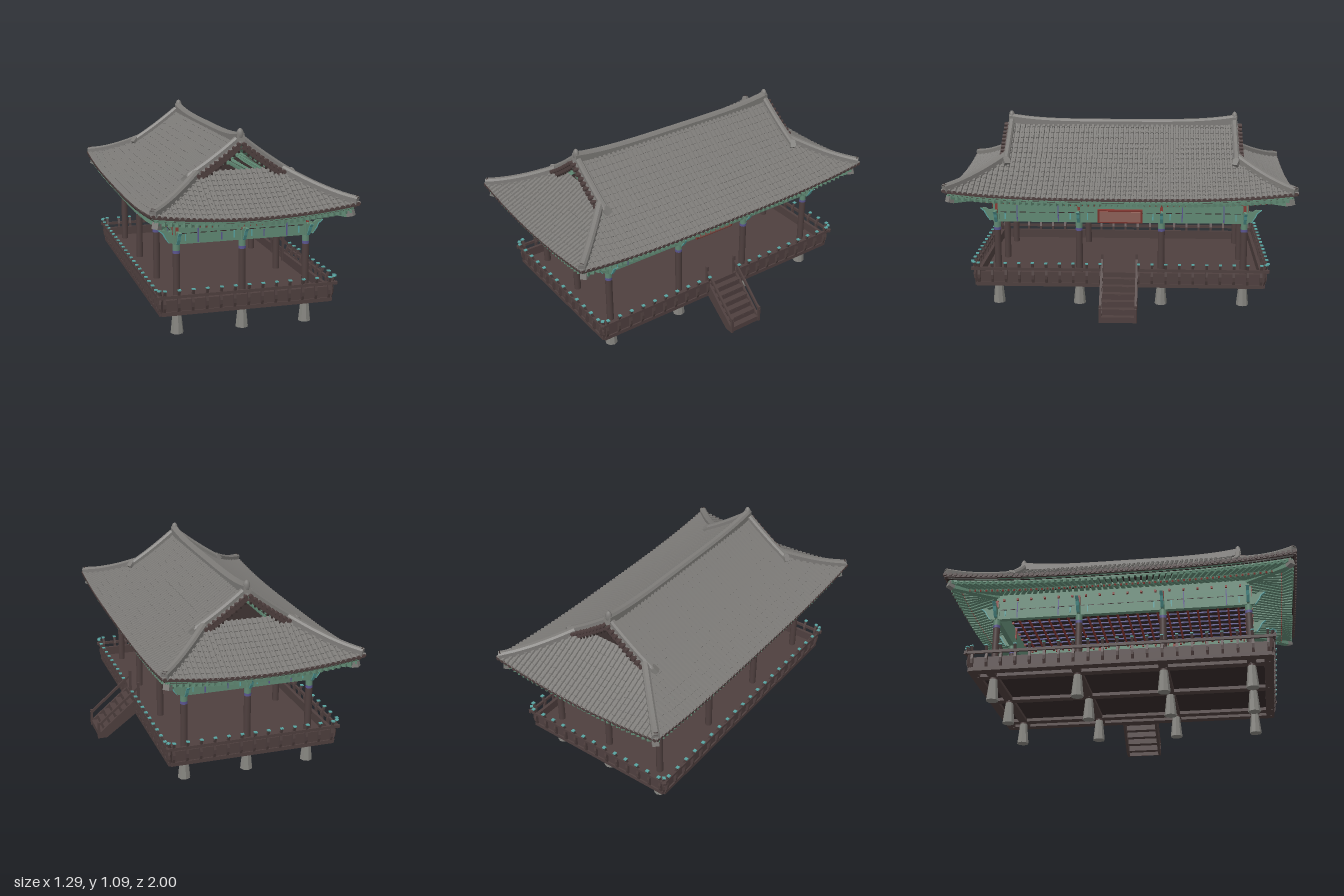
import * as THREE from 'three';
import { mergeGeometries } from 'three/addons/utils/BufferGeometryUtils.js';

const D = 0.562, ZO = 0.435, CX = 0.367, CZ = 0.72; // eave half width, hip offset, column grid
const V = (x, y, z) => new THREE.Vector3(x, y, z);
const range = (a, b, n) => Array.from({ length: n + 1 }, (_, i) => a + (b - a) * i / n);

function fromTris(pos) {
  const g = new THREE.BufferGeometry();
  g.setAttribute('position', new THREE.Float32BufferAttribute(pos.flatMap(p => [p.x, p.y, p.z]), 3));
  g.computeVertexNormals();
  return g;
}
// Sweep an anticlockwise (side, up) profile along a path, with an optional scale per point
function sweep(path, profile, scale = () => 1) {
  const t = [], n = profile.length, up = V(0, 1, 0);
  const rings = path.map((p, i) => {
    const dir = path[Math.min(i + 1, path.length - 1)].clone().sub(path[Math.max(i - 1, 0)]).normalize();
    const side = dir.clone().cross(up).normalize(), nrm = side.clone().cross(dir);
    return profile.map(([a, b]) => p.clone().addScaledVector(side, a * scale(i)).addScaledVector(nrm, b * scale(i)));
  });
  for (let i = 0; i + 1 < rings.length; i++) for (let j = 0; j < n; j++) {
    const k = (j + 1) % n, A = rings[i], B = rings[i + 1];
    t.push(A[j], B[j], B[k], A[j], B[k], A[k]);
  }
  const S = rings[0], E = rings[rings.length - 1];
  for (let j = 1; j + 1 < n; j++) t.push(S[0], S[j], S[j + 1], E[0], E[j + 1], E[j]);
  return fromTris(t);
}
function surface(rows) {
  const t = [];
  for (let i = 0; i + 1 < rows.length; i++) for (let j = 0; j + 1 < rows[i].length; j++) {
    const a = rows[i][j], b = rows[i + 1][j], c = rows[i + 1][j + 1], d = rows[i][j + 1];
    t.push(a, b, c, a, c, d);
  }
  return fromTris(t);
}
const box = (w, h, d, x, y, z) => new THREE.BoxGeometry(w, h, d).translate(x, y, z);
const cyl = (rt, rb, y0, y1, x, z, n = 12) => new THREE.CylinderGeometry(rt, rb, y1 - y0, n).translate(x, (y0 + y1) / 2, z);
const faceted = g => { const q = g.toNonIndexed(); q.computeVertexNormals(); return q; };
const rect = (w, h) => [[-w / 2, 0], [w / 2, 0], [w / 2, h], [-w / 2, h]];
const ridgeShape = (w, h) => [[-w / 2, -0.01], [w / 2, -0.01], [w / 2, h * 0.7], [w / 4, h], [-w / 4, h], [-w / 2, h * 0.7]];
const plate = (pts, depth) => new THREE.ExtrudeGeometry(new THREE.Shape(pts.map(p => new THREE.Vector2(...p))),
  { depth, bevelEnabled: false }).translate(0, 0, -depth / 2);

// Roof height: sagging slope plus lifted corners
const lift = (x, z) => 0.045 * (x / D) ** 2 * Math.abs(z) ** 3;
const roofY = (d, x, z) => 1.02 - 0.8 * d + 0.32 * d * d + lift(x, z);
// The four slopes: s runs along the eave, d runs from ridge to eave
const sides = [];
for (const sg of [1, -1]) {
  sides.push({ main: true, sg, L: D + ZO, post: CZ, at: (s, d, dy = 0) => V(sg * d, roofY(d, d, s) + dy, s) });
  sides.push({ main: false, sg, L: D, post: CX, at: (s, d, dy = 0) => V(s, roofY(d, s, d + ZO) + dy, sg * (d + ZO)) });
}
const topOf = (f, s) => f.main ? (Math.abs(s) < 0.7 ? 0 : Math.abs(s) - ZO) : Math.max(Math.abs(s), 0.215);

export function createModel() {
  const mat = (name, color, side = THREE.FrontSide) => Object.assign(new THREE.MeshStandardMaterial({ color, side }), { name });
  const tile = mat('grey tile', 0x7d7b78, THREE.DoubleSide), stone = mat('stone', 0x84837e);
  const wood = mat('brown wood', 0x4e3f3e), dark = mat('dark timber', 0x352b2a, THREE.DoubleSide);
  const green = mat('green paint', 0x608873, THREE.DoubleSide), red = mat('red paint', 0x8a3a34);
  const pink = mat('plaque face', 0xa06e64), violet = mat('violet paint', 0x5a5590), cyan = mat('teal paint', 0x58a3a0);

  const model = new THREE.Group(), body = new THREE.Group();
  model.name = 'pavilion'; body.name = 'hall';
  body.position.x = -0.078;
  model.add(body);
  const add = (name, material, geos) => {
    const list = geos.map(g => { const q = g.index ? g.toNonIndexed() : g; q.deleteAttribute('uv'); return q; });
    const m = new THREE.Mesh(mergeGeometries(list), material);
    m.name = name;
    body.add(m);
  };

  // Roof slopes, tile rows, eave edges and two tiers of rafters
  const sheets = [], lining = [], rolls = [], ends = [], edges = [], rafters = [], tips = [], soffit = [], fascias = [];
  const roll = [[-0.009, -0.002], [0.009, -0.002], [0.006, 0.008], [-0.006, 0.008]];
  for (const f of sides) {
    const pieces = f.main ? [[-f.L, -0.7], [-0.7, 0.7], [0.7, f.L]] : [[-f.L, -0.215], [-0.215, 0.215], [0.215, f.L]];
    for (const [a, b] of pieces) {
      const d0 = s => f.main && a === -0.7 ? 0 : f.main ? Math.abs(s) - ZO : topOf(f, s);
      const grid = dy => surface(range(a, b, 14).map(s => range(d0(s), D, 12).map(d => f.at(s, d, dy))));
      sheets.push(grid(0));
      if (f.main && a === -0.7) lining.push(grid(-0.012));
    }
    const n = Math.round(2 * f.L / 0.03);
    for (const s of range(-f.L + 0.012, f.L - 0.012, n)) {
      const d0 = topOf(f, s), k = Math.max(1, Math.round((D - d0) / 0.036)), path = [];
      for (let i = 0; i < k; i++) for (const e of [0, 1]) path.push(f.at(s, d0 + (D - d0) * (i + e) / k, 0.001));
      rolls.push(sweep(path, roll, i => i % 2 ? 1.2 : 0.85));
      const c = new THREE.CylinderGeometry(0.0105, 0.0105, 0.008, 8).rotateX(Math.PI / 2);
      if (f.main) c.rotateY(Math.PI / 2);
      const p = f.at(s, D, 0);
      ends.push(c.translate(p.x, p.y, p.z));
    }
    const along = range(-1, 1, 28);
    edges.push(sweep(along.map(t => f.at(t * (f.L - 0.012), D - 0.01, -0.016)), rect(0.012, 0.015)));
    // Points fan out towards the corners: t runs along the eave, d is the reach, y the height before the lift
    const under = (t, d, y) => {
      const s = t * (f.L - D + d), p = f.main ? V(f.sg * d, y, s) : V(s, y, f.sg * (d + ZO));
      p.y += lift(p.x, p.z);
      return p;
    };
    const inner = (t, y) => {
      const c = THREE.MathUtils.clamp(t * f.L, -f.post, f.post);
      return f.main ? V(f.sg * 0.34, y, c) : V(c, y, f.sg * (CZ - 0.03));
    };
    soffit.push(surface(along.map(t => [inner(t, 0.676), under(t, 0.47, 0.644), under(t, D - 0.015, 0.65)])));
    for (const t of range(-0.98, 0.98, Math.round(2 * f.L / 0.036))) {
      const a = inner(t, 0.66), b = under(t, 0.475, 0.616);
      rafters.push(sweep([a, b], rect(0.021, 0.02)));
      tips.push(sweep([b, b.clone().add(b.clone().sub(a).setLength(0.004))], rect(0.011, 0.011)));
      rafters.push(sweep([under(t, 0.45, 0.632), under(t, D - 0.022, 0.626)], rect(0.021, 0.02)));
    }
    fascias.push(sweep(along.map(t => under(t, 0.462, 0.63)), rect(0.012, 0.016)));
    fascias.push(sweep(along.map(t => under(t, D - 0.03, 0.64)), rect(0.014, 0.016)));
  }
  add('roofSlopes', tile, sheets);
  add('roofLining', green, lining);
  add('tileRows', tile, rolls);
  add('tileEnds', wood, ends);
  add('eaveEdge', wood, edges);
  add('soffit', dark, soffit);
  add('rafters', green, rafters);
  add('rafterTips', red, tips);
  add('eaveFascias', green, fascias);

  // Ridges, finials and gable trim
  const ridges = [sweep(range(-0.69, 0.69, 24).map(z => V(0, 1.003 + 0.032 * (z / 0.69) ** 4, z)), ridgeShape(0.044, 0.04))];
  const finials = [], hooks = [], boards = [], verge = [], hipBeams = [], hipEnds = [], studs = [];
  for (const sz of [1, -1]) {
    finials.push(new THREE.SphereGeometry(1, 10, 8).scale(0.021, 0.037, 0.018).translate(0, 1.056, sz * 0.674));
    for (const sx of [1, -1]) {
      const slope = (z, dy, a = 0.005, b = 0.285) => range(a, b, 10).map(d => V(sx * d, roofY(d, d, z) + dy, sz * z));
      ridges.push(sweep([...slope(0.672, 0), V(sx * 0.3, 0.822, sz * 0.668), V(sx * 0.315, 0.838, sz * 0.66)], ridgeShape(0.034, 0.038)));
      const hip = range(0.24, D - 0.012, 10).map(d => V(sx * d, roofY(d, d, d + ZO), sz * (d + ZO)));
      ridges.push(sweep(hip, ridgeShape(0.04, 0.034)));
      const e = hip[10];
      hooks.push(sweep([V(e.x - sx * 0.03, e.y + 0.01, e.z - sz * 0.03), V(e.x - sx * 0.01, e.y + 0.012, e.z - sz * 0.01),
        V(e.x + sx * 0.004, e.y + 0.026, e.z + sz * 0.004)], rect(0.034, 0.024), i => 1 - i * 0.2));
      const p = V(sx * 0.515, 0.637, sz * 0.95), q = V(sx * 0.54, 0.647, sz * 0.975);
      hipBeams.push(sweep([V(sx * 0.35, 0.635, sz * 0.7), p], rect(0.034, 0.036)));
      hipEnds.push(sweep([p, q], rect(0.036, 0.036)));
      boards.push(sweep(slope(0.695, -0.036, 0, 0.255), rect(0.012, 0.03)));
      for (const d of range(0.015, 0.265, 10)) {
        const y = roofY(d, d, 0.7);
        verge.push(new THREE.CylinderGeometry(0.011, 0.011, 0.04, 8).rotateX(Math.PI / 2).translate(sx * d, y, sz * 0.698));
        if (d < 0.23) studs.push(box(0.01, 0.012, 0.008, sx * d, y - 0.04, sz * 0.7));
      }
    }
  }
  add('ridges', tile, ridges);
  add('ridgeFinials', tile, finials);
  add('cornerHooks', dark, hooks);
  add('gableBoards', wood, boards);
  add('vergeTiles', wood, verge);
  add('gableStuds', dark, studs);
  add('cornerBeams', green, hipBeams);
  add('cornerBeamEnds', tile, hipEnds);

  // Stone bases, columns and brackets
  const bases = [], shafts = [], bands = [], necks = [], caps = [], wings = [], wingEdges = [];
  const wing = () => plate([[0, 0.497], [0.025, 0.503], [0.045, 0.53], [0.056, 0.555], [0.08, 0.573], [0.05, 0.575], [0.03, 0.562], [0, 0.57]], 0.014);
  const wingEdge = () => plate([[0.022, 0.498], [0.029, 0.503], [0.049, 0.53], [0.06, 0.553], [0.084, 0.573], [0.076, 0.573],
    [0.054, 0.556], [0.043, 0.531]], 0.017);
  for (const x of [-CX, 0, CX]) for (const z of [-CZ, -0.24, 0.24, CZ]) {
    bases.push(faceted(cyl(0.023, 0.036, 0, 0.126, x, z, 8)));
    const edgeX = x !== 0, edgeZ = Math.abs(z) === CZ;
    if (!edgeX && !edgeZ) continue;
    shafts.push(cyl(0.02, 0.02, 0.126, 0.444, x, z));
    bands.push(cyl(0.0205, 0.0205, 0.444, 0.46, x, z));
    necks.push(cyl(0.02, 0.02, 0.46, 0.55, x, z));
    caps.push(box(0.016, 0.065, 0.046, x, 0.58, z), box(0.046, 0.065, 0.016, x, 0.58, z));
    const angles = [];
    if (edgeX) angles.push(x > 0 ? 0 : Math.PI);
    if (edgeZ) angles.push(z > 0 ? -Math.PI / 2 : Math.PI / 2);
    for (const a of angles) {
      wings.push(wing().translate(0.015, 0, 0).rotateY(a).translate(x, 0, z));
      wingEdges.push(wingEdge().translate(0.015, 0, 0).rotateY(a).translate(x, 0, z));
    }
  }
  add('stoneBases', stone, bases);
  add('columns', wood, shafts);
  add('columnBands', violet, bands);
  add('columnNecks', green, necks);
  add('columnCaps', red, caps);
  add('bracketWings', green, wings);
  add('bracketWingEdges', cyan, wingEdges);

  // Painted beams and ceiling
  const beams = [], lines = [], stripes = [], blocks = [], marks = [];
  for (const sg of [1, -1]) {
    beams.push(box(0.03, 0.11, 2 * CZ + 0.04, sg * CX, 0.55, 0), box(2 * CX + 0.04, 0.11, 0.03, 0, 0.55, sg * CZ));
    beams.push(box(0.02, 0.06, 2 * CZ, sg * CX, 0.635, 0), box(2 * CX, 0.06, 0.02, 0, 0.635, sg * CZ));
    for (const z of range(-0.68, 0.68, 24)) lines.push(box(0.004, 0.004, 0.036, sg * (CX + 0.015), 0.553, z));
    for (const x of range(-0.33, 0.33, 12)) lines.push(box(0.036, 0.004, 0.004, x, 0.553, sg * (CZ + 0.015)));
    for (const z of [-0.6, -0.36, 0.36, 0.6]) stripes.push(box(0.004, 0.1, 0.006, sg * (CX + 0.0145), 0.55, z));
    for (const x of [-0.25, 0.25]) stripes.push(box(0.007, 0.1, 0.004, x, 0.55, sg * (CZ + 0.0145)));
    for (const x of [-0.12, 0.12]) stripes.push(box(0.006, 0.04, 0.004, x, 0.525, sg * (CZ + 0.0145)));
    for (const x of [-0.32, -0.05, 0.05, 0.32]) marks.push(box(0.007, 0.04, 0.004, x, 0.53, sg * (CZ + 0.0145)));
    for (const z of [-0.67, -0.29, -0.19, 0.19, 0.29, 0.67]) marks.push(box(0.004, 0.04, 0.007, sg * (CX + 0.0145), 0.53, z));
    for (const z of range(-0.68, 0.68, 17)) blocks.push(box(0.05, 0.011, 0.011, sg * CX, 0.614, z));
    for (const x of range(-0.32, 0.32, 8)) blocks.push(box(0.011, 0.011, 0.05, x, 0.614, sg * CZ));
  }
  add('beams', green, beams);
  add('beamLines', dark, lines);
  add('beamStripes', violet, stripes);
  add('beamMarks', cyan, marks);
  add('beamBlocks', red, blocks);
  add('ceiling', dark, [box(2 * CX, 0.01, 2 * CZ, 0, 0.63, 0)]);
  add('ceilingBattens', red, range(-0.66, 0.66, 22).map(z => box(2 * CX, 0.008, 0.012, 0, 0.621, z)));
  add('ceilingRibs', violet, range(-0.3, 0.3, 10).map(x => box(0.008, 0.008, 2 * CZ, x, 0.6215, 0)));

  // Name board without lettering
  const tilt = g => g.rotateZ(-0.3).translate(CX + 0.035, 0.538, 0);
  add('plaqueFrame', red, [tilt(box(0.012, 0.088, 0.26, 0, 0, 0))]);
  add('plaqueFace', pink, [tilt(box(0.006, 0.068, 0.236, 0.006, 0, 0))]);

  // Deck and floor beams
  const FX = 0.462, FZ = 0.815;
  add('deck', wood, [box(2 * FX, 0.008, 2 * FZ, 0, 0.163, 0)]);
  add('deckUnderside', dark, [box(2 * FX - 0.02, 0.004, 2 * FZ - 0.02, 0, 0.157, 0)]);
  add('floorBeams', wood, [...[-FX, -CX, 0, CX, FX].map(x => box(0.05, 0.022, 2 * FZ + 0.03, x, 0.147, 0)),
    ...[-FZ, -CZ, -0.24, 0.24, CZ, FZ].map(z => box(2 * FX + 0.03, 0.022, 0.05, 0, 0.1475, z))]);

  // Balustrade, with a gap for the stair
  const panels = [], posts = [], postTips = [], rails = [];
  const rail = (a, b) => rails.push(sweep([a, b], rect(0.013, 0.016)));
  const post = [[0, 0.145], [0.02, 0.145], [0.034, 0.18], [0.036, 0.205], [0.03, 0.235], [0.047, 0.282], [0.034, 0.278], [0.018, 0.24], [0.018, 0.2]];
  const addPost = (x, z, ang) => {
    posts.push(plate(post, 0.014).rotateY(ang).translate(x, 0, z));
    postTips.push(box(0.018, 0.006, 0.018, 0.04, 0.28, 0).rotateY(ang).translate(x, 0, z));
  };
  for (const sg of [1, -1]) {
    const spans = sg > 0 ? [[-FZ, -0.11], [0.11, FZ]] : [[-FZ, FZ]];
    for (const [a, b] of spans) {
      panels.push(box(0.018, 0.07, b - a, sg * (FX + 0.008), 0.185, (a + b) / 2));
      const a2 = a === -FZ ? a - 0.045 : a, b2 = b === FZ ? b + 0.045 : b;
      rail(V(sg * (FX + 0.032), 0.235, a2), V(sg * (FX + 0.032), 0.235, b2));
      for (const z of range(a, b, Math.round((b - a) / 0.08))) addPost(sg * FX, z, sg > 0 ? 0 : Math.PI);
    }
    panels.push(box(2 * FX, 0.07, 0.018, 0, 0.185, sg * (FZ + 0.008)));
    rail(V(-FX - 0.045, 0.235, sg * (FZ + 0.032)), V(FX + 0.045, 0.235, sg * (FZ + 0.032)));
    for (const x of range(-FX, FX, 12)) addPost(x, sg * FZ, sg > 0 ? -Math.PI / 2 : Math.PI / 2);
    for (const sx of [1, -1]) addPost(sx * FX, sg * FZ, Math.atan2(-sg, sx));
  }
  add('railPanels', wood, panels);
  add('railPosts', wood, posts);
  add('railPostTips', cyan, postTips);
  add('handrails', wood, rails);

  // Stair
  const stair = [];
  for (const z of [0.1, -0.1]) {
    stair.push(plate([[0.468, 0.145], [0.663, 0], [0.718, 0], [0.718, 0.025], [0.488, 0.22], [0.468, 0.22]], 0.014).translate(0, 0, z));
    stair.push(box(0.014, 0.18, 0.014, 0.462, 0.238, z), box(0.014, 0.1, 0.014, 0.711, 0.05, z));
    stair.push(sweep([V(0.462, 0.29, z), V(0.711, 0.075, z)], rect(0.012, 0.014)));
  }
  for (let i = 0; i < 6; i++) stair.push(box(0.045, 0.01, 0.19, 0.69 - i * 0.037, 0.028 + i * 0.033, 0),
    box(0.006, 0.033, 0.19, 0.673 - i * 0.037, 0.044 + i * 0.033, 0));
  stair.push(box(0.006, 0.03, 0.19, 0.708, 0.015, 0));
  add('stair', wood, stair);
  return model;
}
